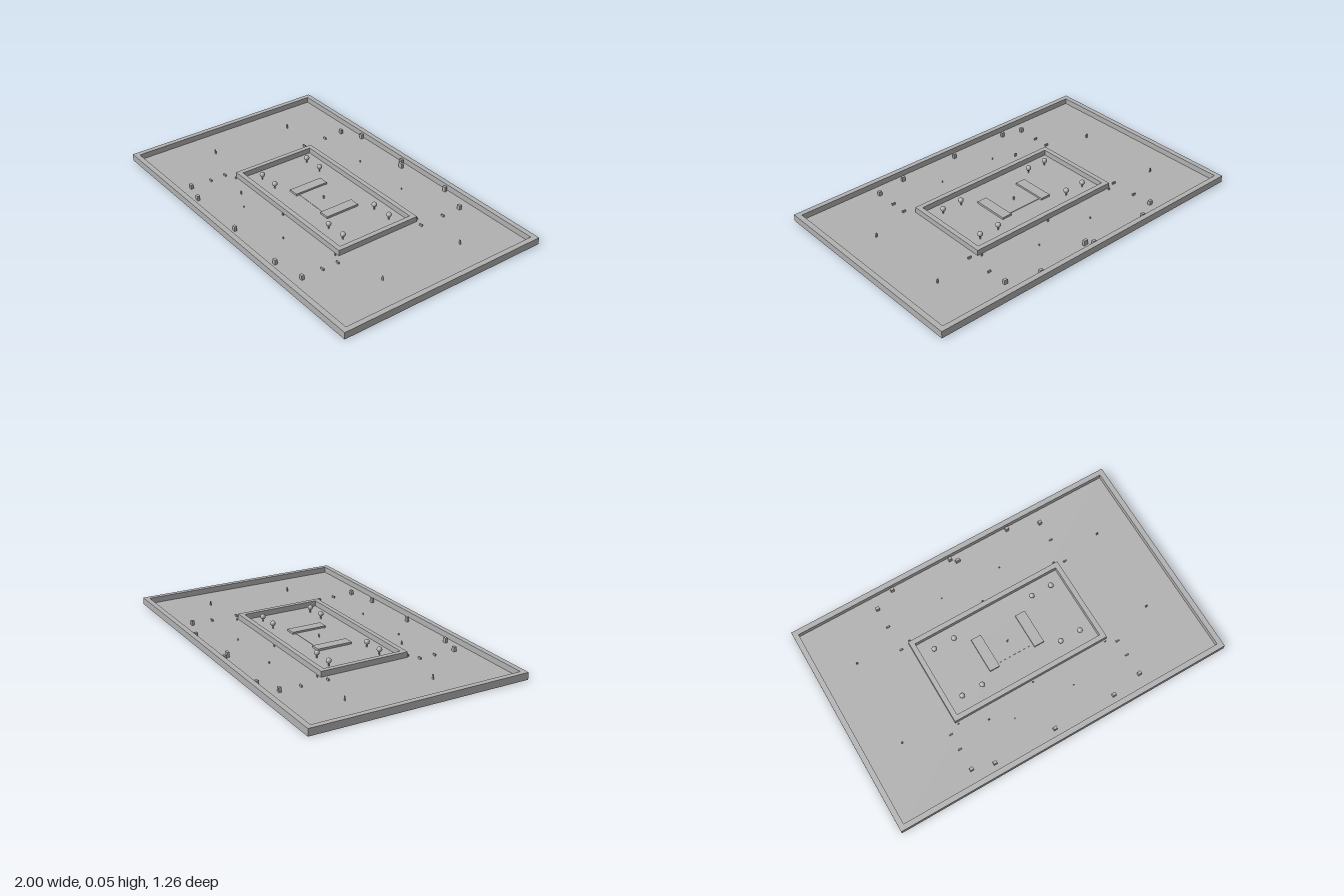
import * as THREE from 'three';

export function createModel() {
  const group = new THREE.Group();
  const stone = new THREE.MeshStandardMaterial({ color: 0xb0b0b0 });
  stone.name = 'grey stone';
  const FLOOR = 0.007;

  function add(name, geometry, x, y, z) {
    const mesh = new THREE.Mesh(geometry, stone);
    mesh.name = name;
    mesh.position.set(x, y, z);
    group.add(mesh);
    return mesh;
  }
  // Box standing with its underside at y
  function block(name, x, z, w, h, d, y = FLOOR) {
    return add(name, new THREE.BoxGeometry(w, h, d), x, y + h / 2, z);
  }
  // Rectangular ring wall, extruded upward
  function ringWall(name, hx, hz, t, bottom, top) {
    const rect = (Type, a, b) => new Type([
      new THREE.Vector2(-a, -b), new THREE.Vector2(a, -b),
      new THREE.Vector2(a, b), new THREE.Vector2(-a, b),
    ]);
    const shape = rect(THREE.Shape, hx, hz);
    shape.holes.push(rect(THREE.Path, hx - t, hz - t));
    const geo = new THREE.ExtrudeGeometry(shape, { depth: top - bottom, bevelEnabled: false });
    geo.rotateX(-Math.PI / 2);
    add(name, geo, 0, bottom, 0);
  }

  // Ground and the two enclosing walls
  block('ground', 0, 0, 1.98, FLOOR, 1.24, 0);
  ringWall('outerWall', 1, 0.63, 0.03, 0, 0.04);
  ringWall('innerWall', 0.475, 0.26, 0.028, FLOOR, 0.039);

  // Paired slabs joined by a low court
  for (const s of [-1, 1]) block('courtSlab', s * 0.14, 0, 0.06, 0.012, 0.208);
  block('courtFloor', 0, 0, 0.22, 0.002, 0.17);

  // Small centre monument
  add('monumentPost', new THREE.CylinderGeometry(0.003, 0.004, 0.022, 8), 0, FLOOR + 0.011, 0);
  block('monumentArm', 0, 0, 0.016, 0.003, 0.004, FLOOR + 0.013);

  // Round trees inside the inner wall
  const crown = new THREE.SphereGeometry(0.015, 20, 14);
  const trunk = new THREE.CylinderGeometry(0.004, 0.004, 0.026, 10);
  for (const x of [-0.37, -0.247, 0.247, 0.37]) {
    for (const z of [-0.155, 0.153]) {
      add('treeTrunk', trunk, x, FLOOR + 0.013, z);
      add('treeCrown', crown, x, 0.037, z);
    }
  }

  // Huts around the outer yard
  for (const x of [-0.525, 0.52]) {
    for (const z of [-0.523, 0.523]) block('cornerHut', x, z, 0.02, 0.026, 0.016);
  }
  for (const x of [-0.402, -0.033, 0.337]) {
    block('backHut', x, -0.583, 0.02, 0.028, 0.016);
    block('frontHut', x, 0.556, 0.02, 0.028, 0.016);
  }
  block('gateHut', 0, -0.553, 0.026, 0.03, 0.014);

  // Benches along the sides
  for (const x of [-0.525, 0.52]) {
    for (const z of [-0.403, -0.25, 0.303, 0.397]) block('bench', x, z, 0.02, 0.012, 0.007);
  }

  // Small markers beside the inner wall
  for (const x of [-0.462, 0, 0.46]) {
    for (const z of [-0.275, 0.272]) block('wallMarker', x, z, 0.01, 0.012, 0.004);
  }
  for (const x of [-0.187, 0.182]) {
    for (const z of [-0.403, 0.397]) block('yardMarker', x, z, 0.005, 0.01, 0.005);
  }

  // Thin posts in the side yards
  for (const x of [-0.77, 0.765]) {
    for (const z of [-0.3, 0.213]) block('yardPost', x, z, 0.01, 0.025, 0.004);
  }
  block('yardPost', -0.31, 0.335, 0.01, 0.02, 0.004);

  return group;
}
